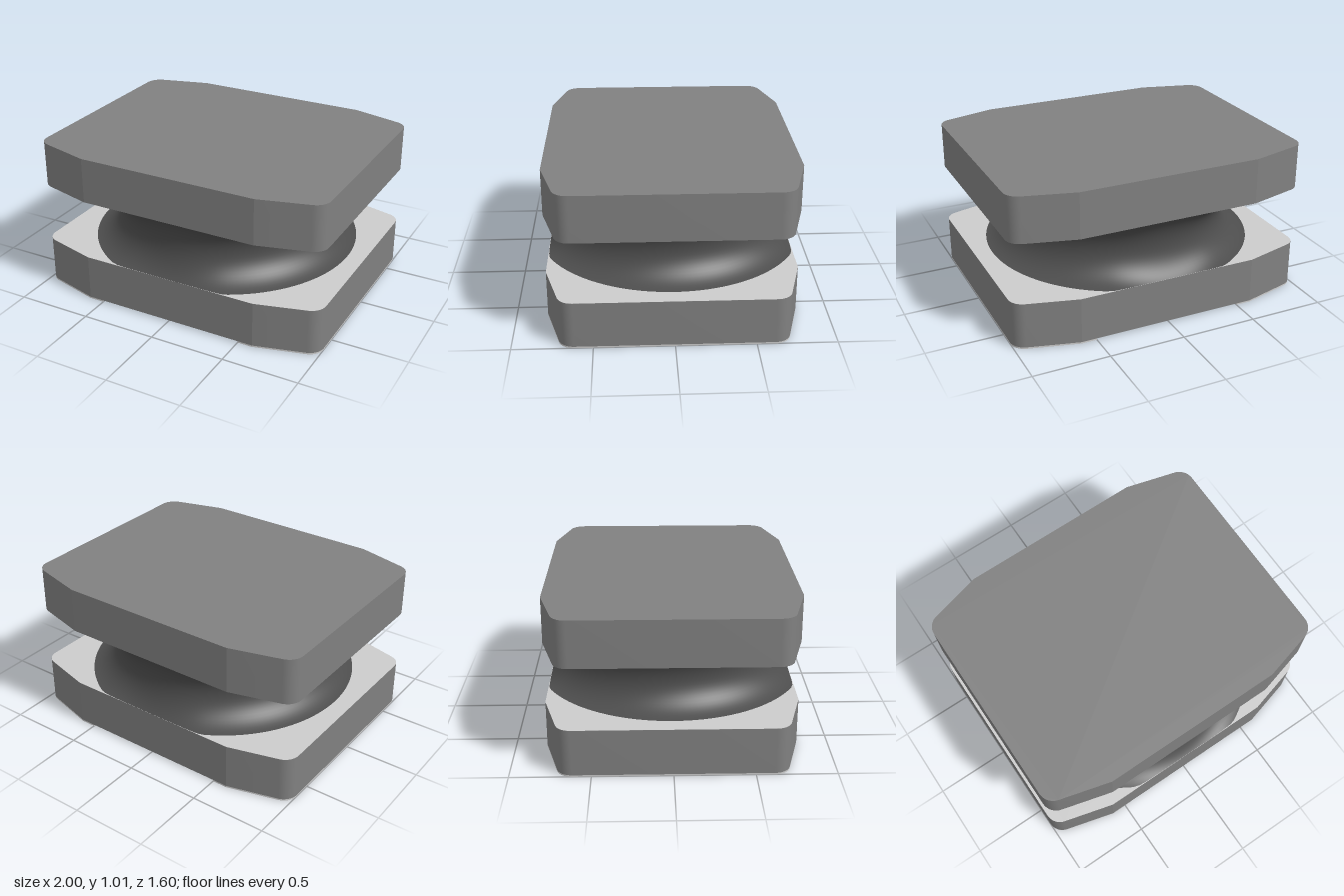
import * as THREE from 'three';
import { mergeVertices, toCreasedNormals } from 'three/addons/utils/BufferGeometryUtils.js';

const slabGrey = new THREE.MeshStandardMaterial({ color: 0x808080 });
slabGrey.name = 'slabGrey';
const lightGrey = new THREE.MeshStandardMaterial({ color: 0xcccccc });
lightGrey.name = 'lightGrey';
const neckGrey = new THREE.MeshStandardMaterial({ color: 0x4d4d4d });
neckGrey.name = 'neckGrey';

const BASE = 0.01, LOW_TOP = 0.31, HIGH_BOTTOM = 0.71, HIGH_TOP = 1.01;

// Right edge of the outline: slanted 15 degree shoulders with filleted corners
function rightEdge() {
  const pts = [new THREE.Vector2(0.6, 0.8)];
  const n = 10, sweep = Math.PI * 75 / 180;
  for (let i = n; i >= 0; i--) {
    const a = sweep * i / n;
    pts.push(new THREE.Vector2(0.9 + 0.1 * Math.cos(a), 0.616 + 0.1 * Math.sin(a)));
  }
  const mirrored = pts.map(p => new THREE.Vector2(p.x, -p.y)).reverse();
  return [...pts, ...mirrored].reverse(); // counter-clockwise
}

function slabShape() {
  const right = rightEdge();
  return new THREE.Shape([...right, ...right.map(p => p.clone().negate())]);
}

function padShape() {
  return new THREE.Shape([new THREE.Vector2(0.5, -0.8), ...rightEdge(), new THREE.Vector2(0.5, 0.8)]);
}

// Extrude a plan shape upward between two heights
function plate(name, shape, y0, y1, material) {
  const geo = new THREE.ExtrudeGeometry(shape, { depth: y1 - y0, bevelEnabled: false });
  geo.rotateX(-Math.PI / 2).translate(0, y0, 0);
  const mesh = new THREE.Mesh(toCreasedNormals(geo, 0.2), material);
  mesh.name = name;
  return mesh;
}

// Round neck with a concave groove, its rims held inside the slab depth
function neck() {
  const waist = 0.705, half = 0.2, rings = 28;
  const pts = [];
  for (let i = 0; i <= rings; i++) {
    pts.push(new THREE.Vector2(1, -half * Math.cos(Math.PI * i / rings)));
  }
  let geo = new THREE.LatheGeometry(pts, 128);
  const pos = geo.attributes.position;
  for (let i = 0; i < pos.count; i++) {
    const x = pos.getX(i), y = pos.getY(i), z = pos.getZ(i);
    const rim = Math.min(0.9, 0.8 / Math.max(Math.abs(z), 1e-6));
    const d = rim - waist;
    const R = (d * d + half * half) / (2 * d); // arc through waist and rim
    const r = waist + R - Math.sqrt(Math.max(0, R * R - y * y));
    pos.setXYZ(i, x * r, y + (LOW_TOP + HIGH_BOTTOM) / 2, z * r);
  }
  geo.deleteAttribute('normal');
  geo.deleteAttribute('uv');
  geo = mergeVertices(geo, 1e-5);
  geo.computeVertexNormals();
  const mesh = new THREE.Mesh(geo, neckGrey);
  mesh.name = 'groovedNeck';
  return mesh;
}

export function createModel() {
  const model = new THREE.Group();
  model.name = 'groovedBlock';

  model.add(plate('lowerSlab', slabShape(), BASE, LOW_TOP, slabGrey));
  model.add(plate('upperSlab', slabShape(), HIGH_BOTTOM, HIGH_TOP, slabGrey));
  model.add(neck());

  // Light face on top of the lower slab
  const face = new THREE.Mesh(new THREE.ShapeGeometry(slabShape()), lightGrey);
  face.geometry.rotateX(-Math.PI / 2).translate(0, LOW_TOP + 0.001, 0);
  face.name = 'lowerSlabTopFace';
  model.add(face);

  // Thin foot pads at both ends, leaving a shallow channel between them
  for (const [name, turn] of [['leftFootPad', 0], ['rightFootPad', Math.PI]]) {
    const pad = plate(name, padShape(), 0, BASE, lightGrey);
    pad.rotation.y = turn;
    model.add(pad);
  }
  return model;
}
